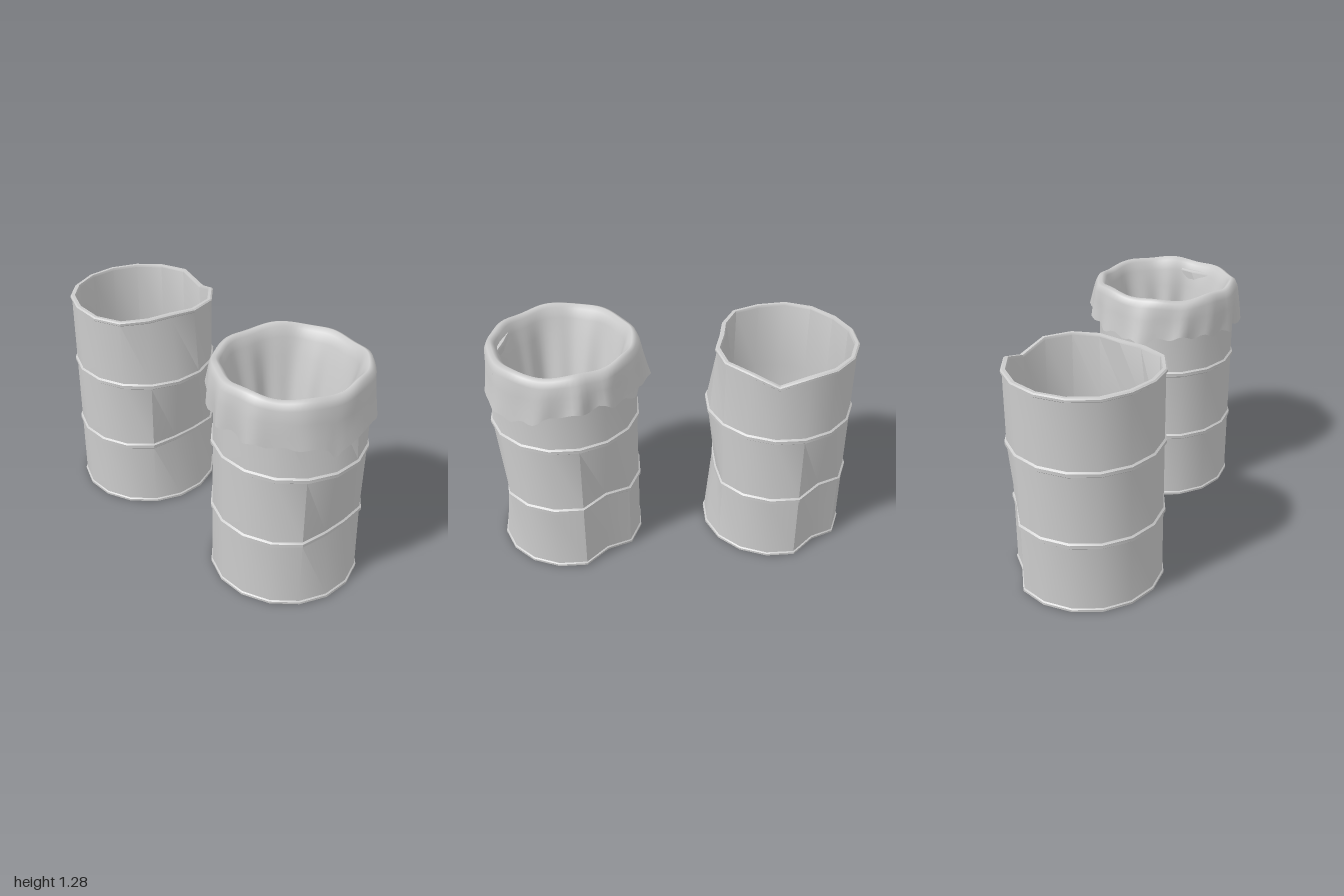
import * as THREE from 'three';
import { toCreasedNormals, mergeVertices } from 'three/addons/utils/BufferGeometryUtils.js';

const SIDES = 16;
const material = new THREE.MeshStandardMaterial({ color: 0xcccccc });
const clothMaterial = new THREE.MeshStandardMaterial({ color: 0xcccccc, side: THREE.DoubleSide });

// Smooth bump of height 1 around angle c (radians, 0 = front, + towards +x)
function bump(a, c, w) {
  const d = Math.abs(Math.atan2(Math.sin(a - c), Math.cos(a - c)));
  return d < w ? (1 + Math.cos(Math.PI * d / w)) / 2 : 0;
}

// Linear interpolation through [position, value] pairs
function ramp(t, keys) {
  for (let i = 1; i < keys.length; i++) {
    const [a, va] = keys[i - 1], [b, vb] = keys[i];
    if (t <= b) return va + (vb - va) * Math.max(0, (t - a) / (b - a));
  }
  return keys[keys.length - 1][1];
}

// Raised hoop in the drum profile
const hoop = y => [[0.403, y - 0.017], [0.413, y - 0.009], [0.413, y + 0.009], [0.403, y + 0.017]];

// Dented open steel drum: one closed profile, outside then inside
function drumGeometry() {
  const profile = [
    [0, 0], [0.403, 0], [0.41, 0.005], [0.41, 0.017], [0.403, 0.023],
    ...hoop(0.407), ...hoop(0.815),
    [0.403, 1.193], [0.411, 1.199], [0.411, 1.211], [0.403, 1.217], [0.386, 1.217],
    [0.381, 1.205], [0.384, 0.815], [0.384, 0.407], [0.384, 0.025], [0, 0.025],
  ].map(([x, y]) => new THREE.Vector2(x, y));
  const geo = new THREE.LatheGeometry(profile, SIDES, Math.PI / SIDES);
  const p = geo.attributes.position;
  for (let i = 0; i < p.count; i++) {
    const x = p.getX(i), y = p.getY(i), z = p.getZ(i), r = Math.hypot(x, z);
    if (r < 0.1) continue;
    const a = Math.atan2(x, z);
    const front = bump(a, 0, 0.75) * ramp(y, [[0, 0], [0.41, 0.06], [0.8, 0]]);
    const frontTop = bump(a, -0.25, 0.8) * ramp(y, [[0.83, 0], [1.2, 0.07]]);
    const backSide = bump(a, 2.16, 0.42) * ramp(y, [[0, 0.045], [0.43, 0.04], [0.8, 0]]);
    const lift = bump(a, 2.16, 0.42) * ramp(y, [[0, 0.022], [0.43, 0.024], [0.8, 0]]);
    const rim = ramp(y, [[0.83, 0], [1.19, 1]])
      * (0.012 * bump(a, -1.95, 0.5) - 0.055 * bump(a, 1.37, 0.45));
    const s = (r - front - frontTop - backSide) / r;
    p.setXYZ(i, x * s, y + lift + rim, z * s);
  }
  return toCreasedNormals(geo, 0.55);
}

// Lower edge height of the liner by angle in degrees
const hem = [[-180, 1.03], [-150, 1.06], [-120, 1.04], [-90, 1.02], [-60, 1.02], [-30, 1.01],
  [-22, 0.99], [-17, 0.93], [-12, 0.965], [0, 0.99], [15, 1.02], [30, 1.0], [52, 0.985],
  [68, 1.01], [90, 1.06], [115, 1.08], [135, 1.05], [180, 1.03]];

// Liner bag: hangs inside, rolls over the rim, ends in a ragged skirt.
// Columns: radius, height, fold strength, skirt amount
const linerRows = [
  [0, 0.5, 0, 0], [0.12, 0.505, 0.3, 0], [0.19, 0.55, 0.6, 0], [0.215, 0.65, 0.9, 0],
  [0.245, 0.8, 1, 0], [0.28, 0.97, 1, 0], [0.315, 1.11, 0.8, 0], [0.34, 1.2, 0.5, 0],
  [0.358, 1.25, 0.3, 0], [0.38, 1.27, 0.2, 0], [0.402, 1.26, 0.2, 0.05],
  [0.416, 1.225, 0.2, 0.15], [0.418, 1.16, 0, 0.45], [0.419, 1.09, 0, 0.75], [0.42, 1.02, 0, 1],
];

function linerGeometry() {
  const cols = 96, rows = linerRows.length - 1;
  const geo = new THREE.PlaneGeometry(1, 1, cols, rows);
  geo.deleteAttribute('uv');
  geo.deleteAttribute('normal');
  const p = geo.attributes.position;
  for (let j = 0; j <= rows; j++) {
    const [r0, y0, fold, skirt] = linerRows[j];
    for (let i = 0; i <= cols; i++) {
      const a = ((i % cols) / cols) * Math.PI * 2 - Math.PI;
      // creases inside
      const crease = 0.012 * Math.sin(5 * a + 1 + j * 0.15) + 0.008 * Math.sin(11 * a + 2)
        - 0.05 * bump(a, 0.3, 0.3) * ramp(r0, [[0.12, 0], [0.2, 1], [0.3, 0]]);
      // pleats of the skirt, tight at the front and loose round the back and sides
      const loose = 1 - bump(a, 0, 1.5);
      const pleat = Math.pow(Math.abs(Math.sin(6.5 * a + 0.6 * Math.sin(3 * a))), 3)
        * (0.7 + 0.3 * Math.sin(4 * a + 1));
      const flare = skirt * (0.004 + loose * 0.042 * pleat) - 0.014 * bump(a, 0, 1.0) * (r0 > 0.3 ? 1 : 0);
      const r = r0 + fold * crease + flare;
      // uneven crest and ragged hem
      const crest = ramp(y0, [[1.1, 0], [1.25, 1]])
        * (0.007 * Math.sin(3 * a + 0.5) + 0.006 * Math.sin(8 * a));
      const edge = ramp(a * 180 / Math.PI, hem) + loose * 0.012 * Math.sin(19 * a);
      const y = skirt >= 0.45
        ? THREE.MathUtils.lerp(1.225, edge, (skirt - 0.15) / 0.85)
        : y0 + crest;
      const deep = ramp(y0, [[0.5, 1], [1.15, 0]]);
      p.setXYZ(j * (cols + 1) + i,
        r * Math.sin(a) * (1 - 0.08 * deep) + 0.02 * deep,
        y,
        r * Math.cos(a) * (1 + 0.15 * deep) + 0.015 * deep);
    }
  }
  const merged = mergeVertices(geo, 1e-5);
  // outward-facing skirt, inward-facing lining
  merged.setIndex(Array.from(merged.index.array).reverse());
  merged.computeVertexNormals();
  return merged;
}

export function createModel() {
  const model = new THREE.Group();
  model.name = 'drums';
  const drumGeo = drumGeometry();

  for (const [name, z] of [['frontDrum', 0.596], ['backDrum', -0.596]]) {
    const drum = new THREE.Mesh(drumGeo, material);
    drum.name = name;
    drum.position.z = z;
    model.add(drum);
  }

  const liner = new THREE.Mesh(linerGeometry(), clothMaterial);
  liner.name = 'linerBag';
  liner.position.z = 0.592;
  model.add(liner);
  return model;
}
